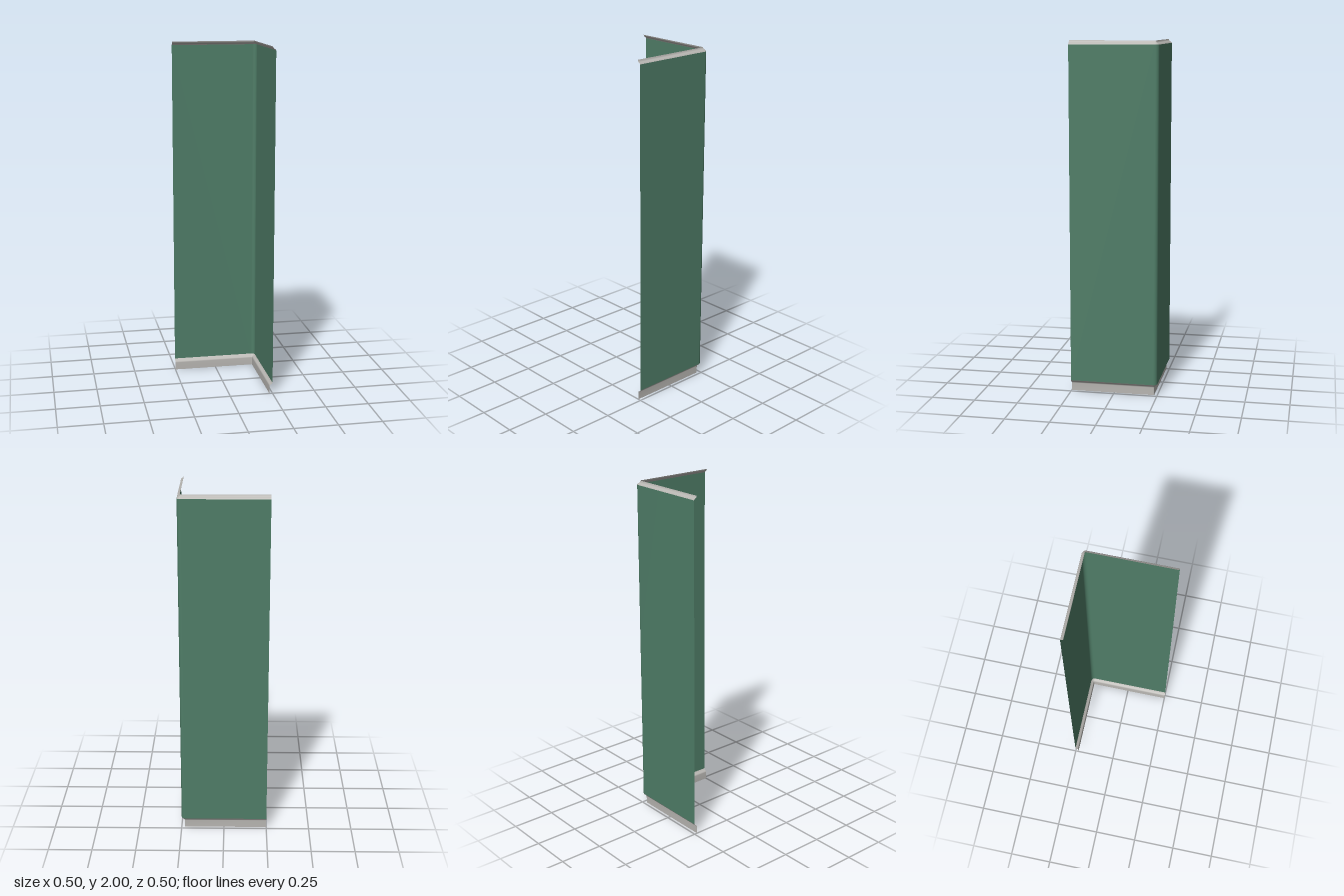
import * as THREE from 'three';

const HALF = 0.25;   // half the footprint
const R = 0.022;     // outer corner radius

// L-shaped plan path, shifted inwards from the outer face by d
function planPath(d) {
  const c = HALF - R, r = R - d, points = [[-HALF, -HALF + d]];
  const steps = 6;
  for (let i = 0; i <= steps; i++) {
    const a = -Math.PI / 2 + (i / steps) * (Math.PI / 2);
    points.push([c + r * Math.cos(a), -c + r * Math.sin(a)]);
  }
  points.push([HALF - d, HALF]);
  return points;
}

// Sweep a profile of [inward offset, height] pairs, bottom to top, along the plan
function sweep(name, profile, material) {
  const positions = [], index = [];
  let n = 0;
  for (const [d, y] of profile) {
    const path = planPath(d);
    n = path.length;
    for (const [x, z] of path) positions.push(x, y, z);
  }
  for (let j = 0; j < profile.length - 1; j++) {
    for (let i = 0; i < n - 1; i++) {
      const a = j * n + i, b = a + 1, c = a + n, e = c + 1;
      index.push(a, c, b, b, c, e);
    }
  }
  const geometry = new THREE.BufferGeometry();
  geometry.setAttribute('position', new THREE.Float32BufferAttribute(positions, 3));
  geometry.setIndex(index);
  geometry.computeVertexNormals();
  const mesh = new THREE.Mesh(geometry, material);
  mesh.name = name;
  return mesh;
}

export function createModel() {
  const green = new THREE.MeshStandardMaterial({ color: 0x4f7d67, side: THREE.DoubleSide });
  green.name = 'green paint';
  const grey = new THREE.MeshStandardMaterial({ color: 0xb8b6b2, side: THREE.DoubleSide });
  grey.name = 'grey trim';

  const group = new THREE.Group();
  group.name = 'cornerWall';

  // Two thin walls joined by a rounded corner
  group.add(sweep('wallPanels', [[0, 0.065], [0, 1.978]], green));

  // Skirting stepped inwards below the walls
  group.add(sweep('skirting', [
    [0.018, 0], [0.018, 0.044], [0.016, 0.05], [0.012, 0.054], [0.004, 0.059], [0, 0.065],
  ], grey));

  // Narrow lip curling inwards along the top
  group.add(sweep('topLip', [
    [0, 1.978], [0.003, 1.983], [0.011, 1.988], [0.016, 1.992], [0.018, 2],
  ], grey));

  return group;
}
